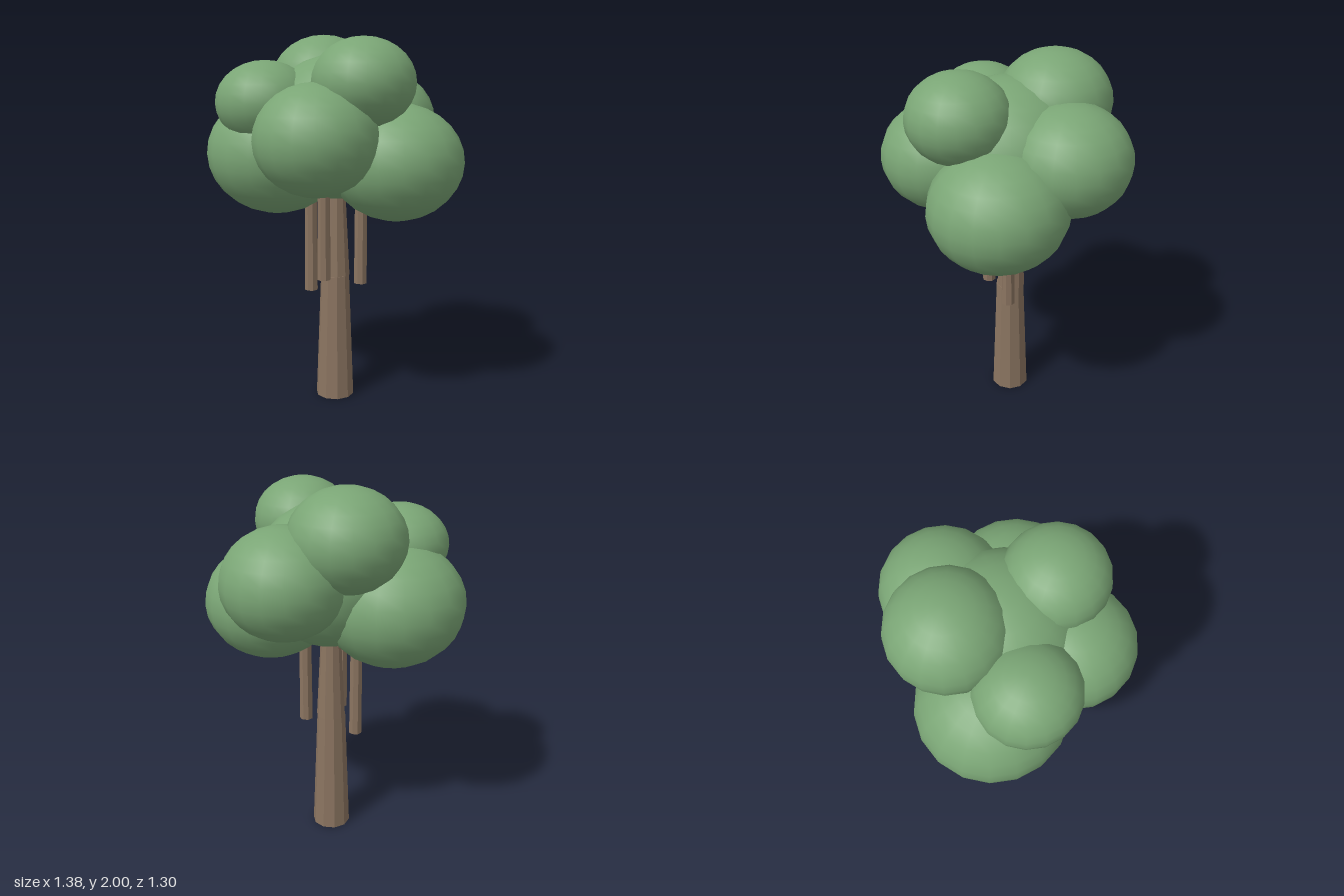
import * as THREE from 'three';

export function createModel() {
  const tree = new THREE.Group();
  tree.name = 'tree';
  const bark = new THREE.MeshStandardMaterial({ color: 0x8a7460, flatShading: true });
  const leaf = new THREE.MeshStandardMaterial({ color: 0x7aa575 });

  const add = (name, geometry, material, x, y, z) => {
    const mesh = new THREE.Mesh(geometry, material);
    mesh.name = name;
    mesh.position.set(x, y, z);
    tree.add(mesh);
    return mesh;
  };

  // Upright tapered post between two heights
  const post = (name, rBottom, rTop, y0, y1, x, z, sides) =>
    add(name, new THREE.CylinderGeometry(rTop, rBottom, y1 - y0, sides), bark, x, (y0 + y1) / 2, z);

  // Trunk in two tapering lengths
  post('lowerTrunk', 0.106, 0.079, 0, 0.7, 0, -0.005, 10);
  post('upperTrunk', 0.079, 0.048, 0.7, 1.3, 0, -0.01, 10);

  // Hanging aerial roots: x, z, bottom, top
  [
    [-0.135, 0.025, 0.6, 1.12],
    [0, 0.12, 0.7, 1.18],
    [0.14, -0.04, 0.66, 1.17],
  ].forEach(([x, z, y0, y1], i) => post(`aerialRoot${i + 1}`, 0.037, 0.034, y0, y1, x, z, 8));

  // Flattened foliage clumps: name, x, y, z, radius, half height
  const ball = new THREE.SphereGeometry(1, 18, 14);
  [
    ['coreFoliage', 0.01, 1.51, 0, 0.4, 0.38],
    ['rightFoliage', -0.31, 1.37, 0.08, 0.382, 0.332],
    ['leftFoliage', 0.335, 1.337, -0.055, 0.355, 0.308],
    ['frontFoliage', 0.08, 1.47, 0.34, 0.314, 0.282],
    ['backFoliage', 0.095, 1.535, -0.338, 0.318, 0.282],
    ['topFoliage', -0.17, 1.74, -0.188, 0.297, 0.26],
    ['upperLeftFoliage', 0.253, 1.745, 0.17, 0.262, 0.225],
    ['upperRightFoliage', -0.278, 1.643, 0.238, 0.26, 0.216],
  ].forEach(([name, x, y, z, r, h]) => add(name, ball, leaf, x, y, z).scale.set(r, h, r));

  return tree;
}
